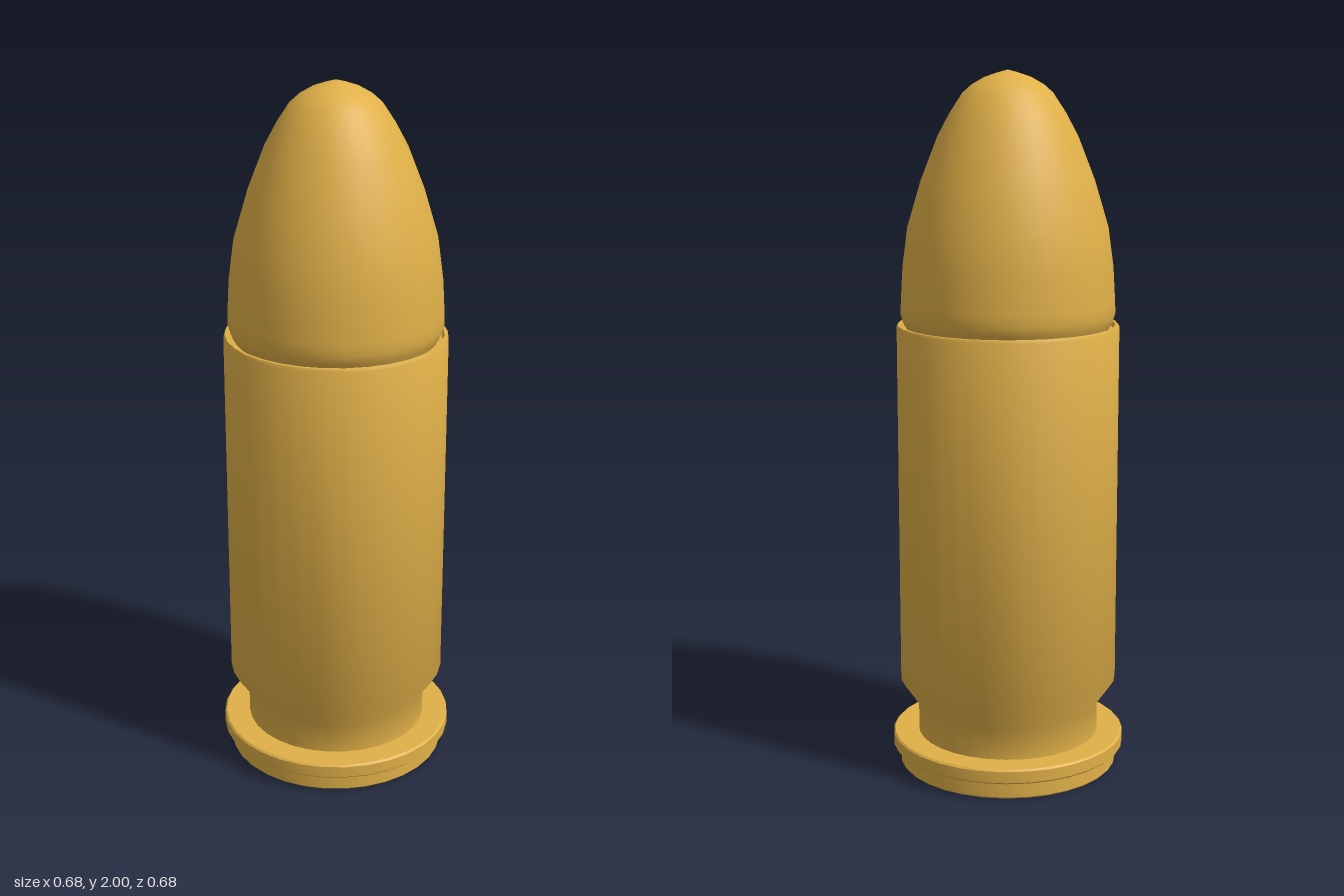
import * as THREE from 'three';
import { toCreasedNormals } from 'three/addons/utils/BufferGeometryUtils.js';

const SIDES = 32;
const brass = new THREE.MeshStandardMaterial({ color: 0xe0b048 });

// Turns a [radius, height] profile, listed from the bottom up, around the y axis.
function turned(name, profile) {
  const points = profile.map(([r, y]) => new THREE.Vector2(r, y));
  const geometry = toCreasedNormals(new THREE.LatheGeometry(points, SIDES), 0.7);
  const mesh = new THREE.Mesh(geometry, brass);
  mesh.name = name;
  return mesh;
}

export function createModel() {
  const group = new THREE.Group();
  group.name = 'cartridge';

  // Case: base disc, rim, extractor groove, shoulder, straight wall and open mouth
  group.add(turned('case', [
    [0, 0], [0.312, 0], [0.317, 0.005], [0.317, 0.047], [0.312, 0.052],
    [0.333, 0.052], [0.338, 0.057], [0.338, 0.09], [0.333, 0.095],
    [0.263, 0.095], [0.263, 0.182], [0.315, 0.257],
    [0.315, 1.29], [0.311, 1.298], [0.303, 1.298], [0.298, 1.285], [0, 1.285],
  ]));

  // Bullet: crimped foot, then an ogive up to a blunt tip
  group.add(turned('bullet', [
    [0, 1.28], [0.282, 1.28], [0.296, 1.305], [0.303, 1.328], [0.302, 1.36],
    [0.296, 1.46], [0.281, 1.57], [0.242, 1.7], [0.195, 1.82], [0.16, 1.885],
    [0.125, 1.938], [0.1, 1.96], [0.065, 1.98], [0.03, 1.992], [0, 2],
  ]));

  return group;
}
